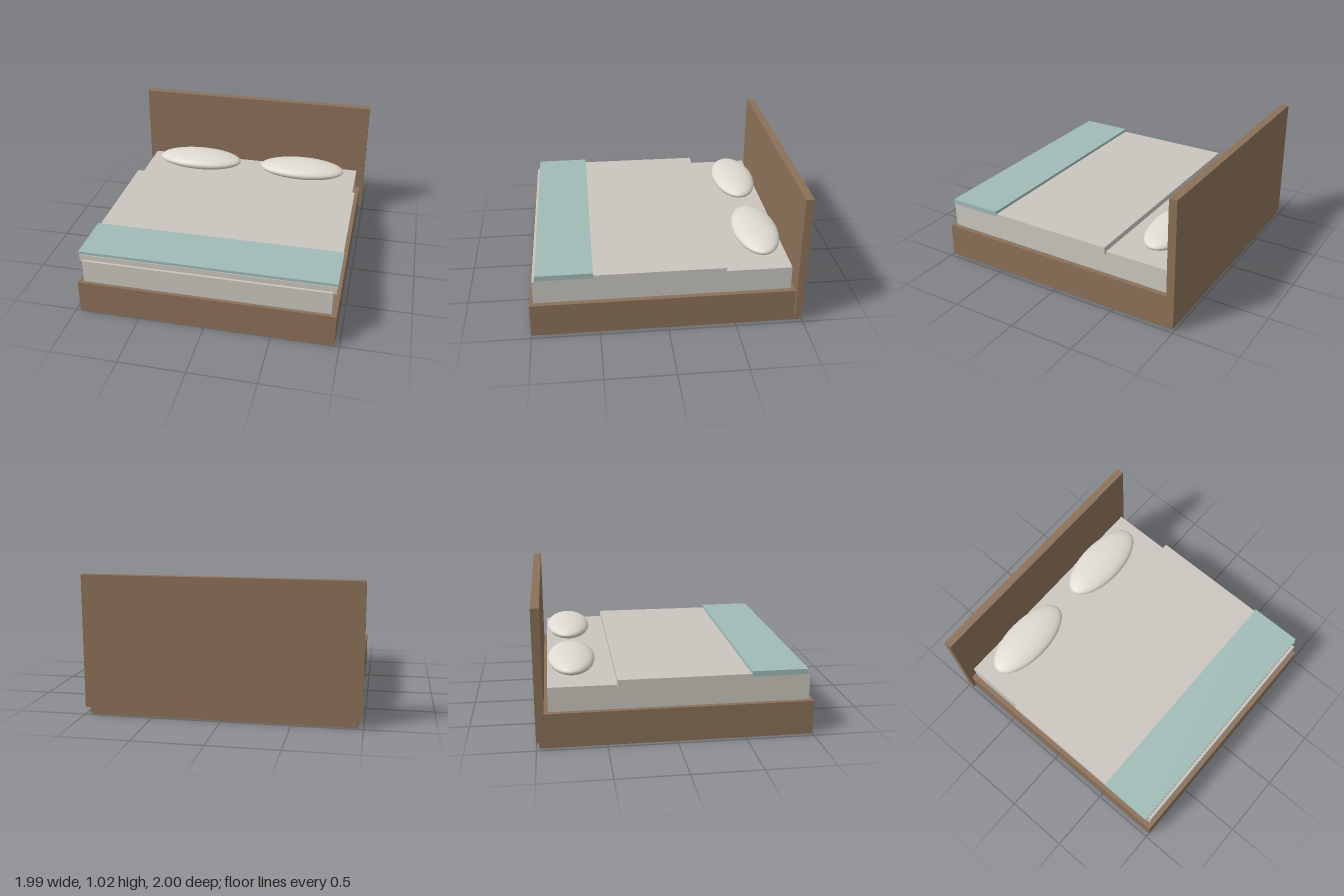
import * as THREE from 'three';

function material(name, color) {
  const m = new THREE.MeshStandardMaterial({ color });
  m.name = name;
  return m;
}

export function createModel() {
  const group = new THREE.Group();
  group.name = 'bed';

  const wood = material('brown wood', 0x8b7058);
  const linen = material('warm grey linen', 0xcac6be);
  const pillowCotton = material('pale pillow cotton', 0xdedad1);
  const throwCloth = material('sage blue throw', 0xa0bbb7);

  // Box centred on x, given half width and its y and z ranges
  function slab(name, mat, halfWidth, [y0, y1], [z0, z1]) {
    const mesh = new THREE.Mesh(new THREE.BoxGeometry(halfWidth * 2, y1 - y0, z1 - z0), mat);
    mesh.position.set(0, (y0 + y1) / 2, (z0 + z1) / 2);
    mesh.name = name;
    group.add(mesh);
  }

  // Wooden base and headboard
  slab('bedFrame', wood, 0.965, [0, 0.255], [-0.98, 1]);
  slab('headboard', wood, 0.993, [0.055, 1.02], [-1, -0.94]);

  // Bedding, from the bottom up
  slab('mattress', linen, 0.926, [0.235, 0.435], [-0.91, 0.972]);
  slab('duvet', linen, 0.95, [0.418, 0.477], [-0.422, 0.952]);
  slab('throwBlanket', throwCloth, 0.958, [0.46, 0.5], [0.537, 0.947]);

  // Flattened oval pillows
  const pillowGeometry = new THREE.SphereGeometry(1, 40, 24).scale(0.365, 0.068, 0.172);
  for (const side of [-1, 1]) {
    const pillow = new THREE.Mesh(pillowGeometry, pillowCotton);
    pillow.position.set(side * 0.458, 0.5, -0.727);
    pillow.name = side > 0 ? 'leftPillow' : 'rightPillow';
    group.add(pillow);
  }

  return group;
}
